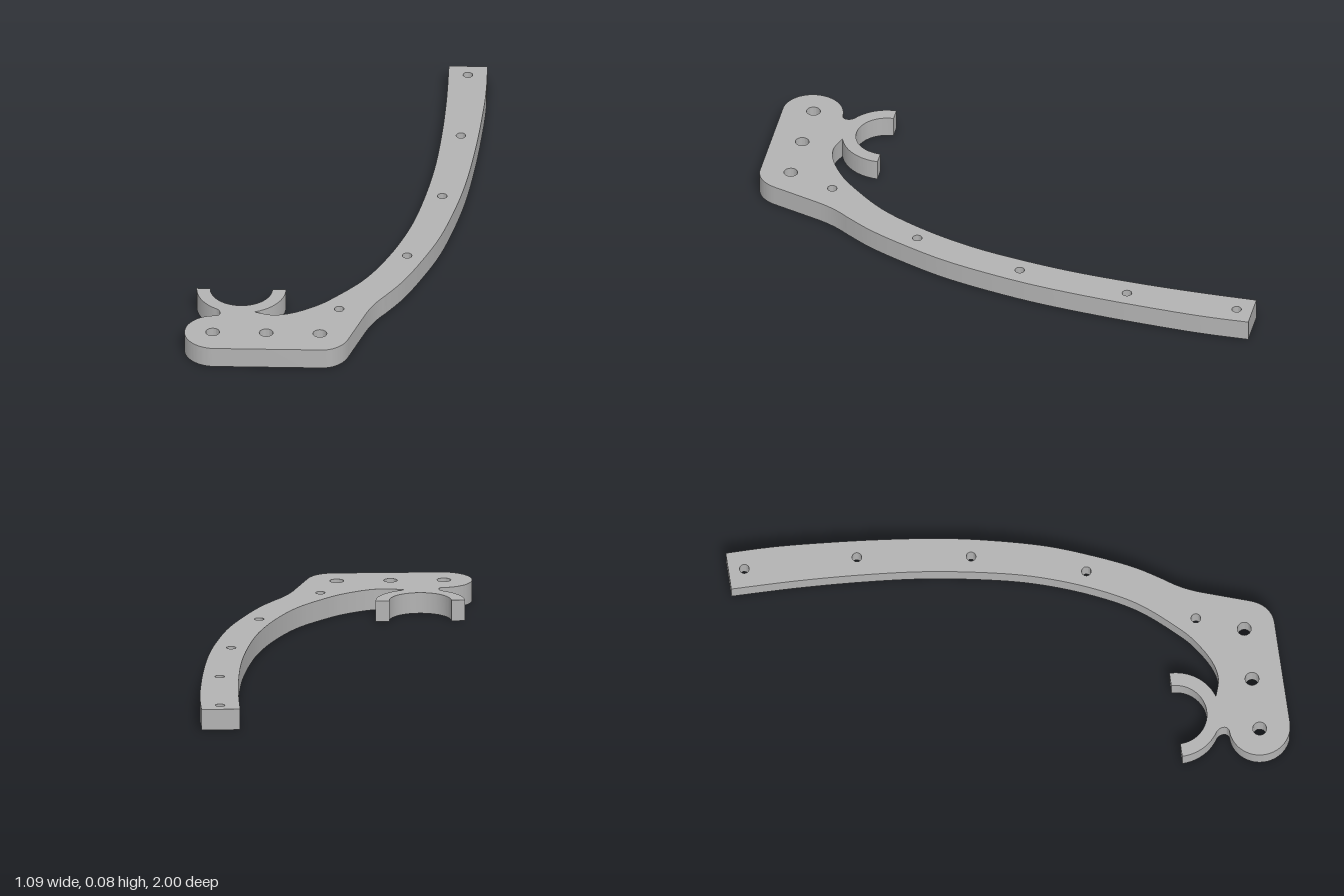
import * as THREE from 'three';
import { toCreasedNormals } from 'three/addons/utils/BufferGeometryUtils.js';

const THICKNESS = 0.08;

const points = (list) => list.map(([x, y]) => new THREE.Vector2(x, y));

// Outline drawn flat, with the shape's y pointing to the back (-z)
function bracketShape() {
  const s = new THREE.Shape();
  const hook = [-0.341, -0.58];

  // inner edge of the curved arm, from its end to the hook
  s.moveTo(0.397, 1);
  s.splineThru(points([
    [0.394, 0.76], [0.383, 0.52], [0.362, 0.28], [0.325, 0.05], [0.28, -0.14], [0.21, -0.33],
    [0.12, -0.5], [0, -0.64], [-0.07, -0.7], [-0.15, -0.745], [-0.22, -0.759], [-0.289, -0.74],
  ]));

  // open half-ring hook
  const neckLeft = 1.32 * Math.PI;
  s.absarc(...hook, 0.168, 1.6 * Math.PI, 2 * Math.PI, false);
  s.absarc(...hook, 0.117, 2 * Math.PI, Math.PI, true);
  s.absarc(...hook, 0.168, Math.PI, neckLeft, false);
  s.bezierCurveTo(-0.412, -0.735, -0.41, -0.768, -0.435, -0.77);

  // rounded mounting foot
  s.absarc(-0.432, -0.885, 0.115, Math.PI / 2, 1.5 * Math.PI, false);
  s.lineTo(-0.03, -1);
  s.bezierCurveTo(0.02, -1, 0.055, -0.965, 0.07, -0.92);
  s.lineTo(0.13, -0.745);
  s.bezierCurveTo(0.15, -0.69, 0.17, -0.655, 0.2, -0.615);

  // outer edge of the arm
  s.splineThru(points([
    [0.265, -0.51], [0.33, -0.37], [0.395, -0.2], [0.447, 0], [0.485, 0.2],
    [0.515, 0.45], [0.535, 0.7], [0.542, 0.85], [0.542, 1],
  ]));
  s.closePath();

  // screw holes: x, y, radius
  const armHoles = [[0.47, 0.94], [0.455, 0.515], [0.396, 0.09], [0.275, -0.33], [0.03, -0.71]];
  const footHoles = [[-0.441, -0.884], [-0.24, -0.884], [-0.038, -0.884]];
  const addHoles = (list, r) => list.forEach(([x, y]) =>
    s.holes.push(new THREE.Path().absarc(x, y, r, 0, 2 * Math.PI, true)));
  addHoles(armHoles, 0.018);
  addHoles(footHoles, 0.026);
  return s;
}

export function createModel() {
  const group = new THREE.Group();
  group.name = 'curvedBracket';

  const grey = new THREE.MeshStandardMaterial({ color: 0xb3b3b3 });
  grey.name = 'grey';

  // one flat plate, laid down on y = 0
  const geometry = new THREE.ExtrudeGeometry(bracketShape(), {
    depth: THICKNESS, bevelEnabled: false, curveSegments: 24,
  });
  geometry.rotateX(-Math.PI / 2);

  const plate = new THREE.Mesh(toCreasedNormals(geometry, 0.6), grey);
  plate.name = 'bracketPlate';
  group.add(plate);
  return group;
}
